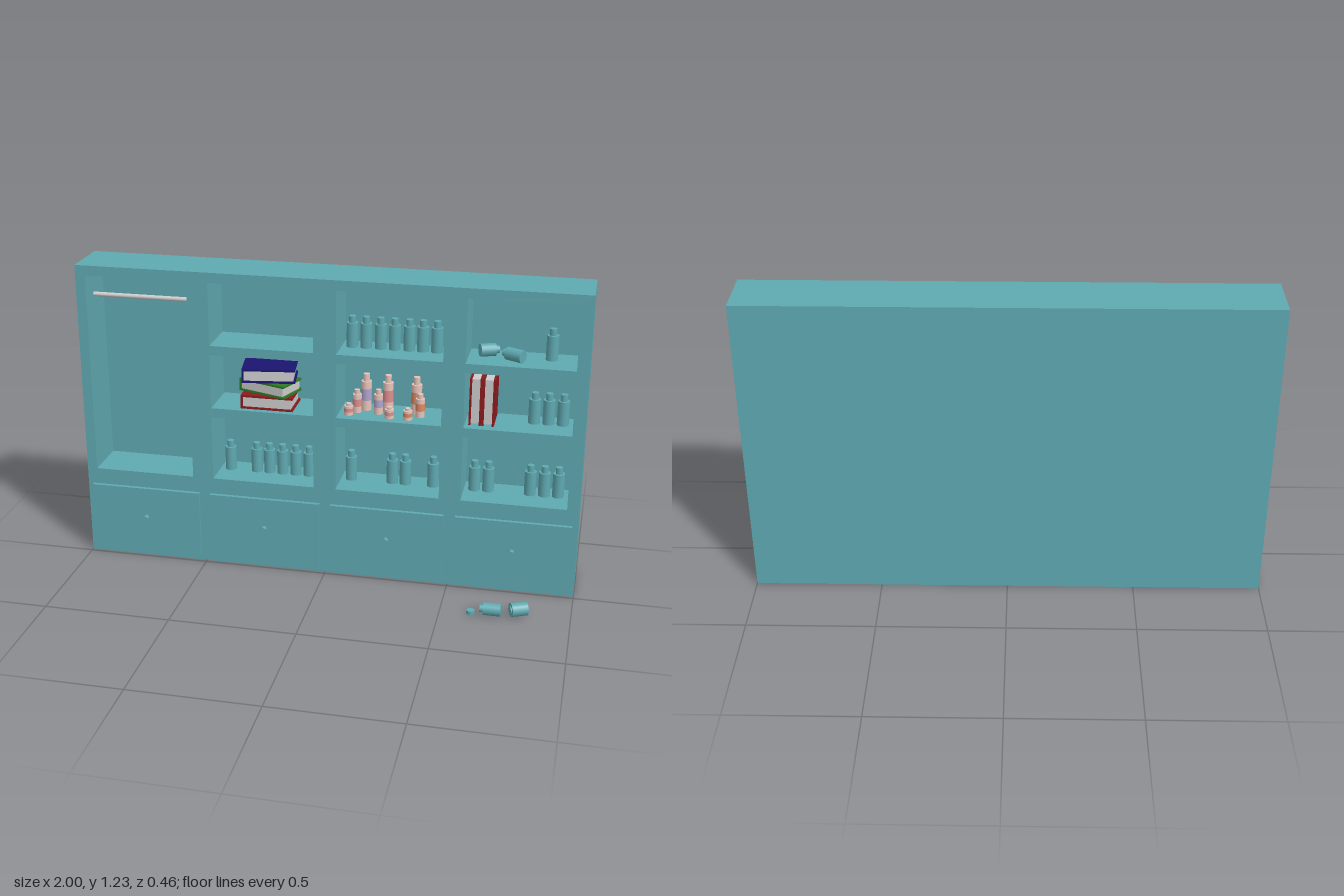
import * as THREE from 'three';

const mat = (color) => new THREE.MeshStandardMaterial({ color });
const TEAL = mat(0x5fa9b1), GREY = mat(0xcccccc);
const RED = mat(0x8c1a1e), GREEN = mat(0x2f7a28), NAVY = mat(0x1a1470);
const CREAM = mat(0xe8c4ba), PINK = mat(0xdf8f8f), ORANGE = mat(0xe08a62), LILAC = mat(0xb0a4cc);

function add(parent, name, geometry, material, x = 0, y = 0, z = 0) {
  const mesh = new THREE.Mesh(geometry, material);
  mesh.name = name;
  mesh.position.set(x, y, z);
  parent.add(mesh);
  return mesh;
}
const box = (w, h, d) => new THREE.BoxGeometry(w, h, d);

// Bottle standing on its base: wide body, narrow neck and an optional label band
function bottle(parent, x, y, z, body = 0.098, neck = 0.026, r = 0.023, material = TEAL, label = null) {
  const g = new THREE.Group();
  g.name = 'bottle';
  g.position.set(x, y, z);
  parent.add(g);
  add(g, 'bottleBody', new THREE.CylinderGeometry(r, r, body, 16), material, 0, body / 2);
  add(g, 'bottleNeck', new THREE.CylinderGeometry(r * 0.6, r * 0.6, neck, 16), material, 0, body + neck / 2);
  if (label) {
    add(g, 'bottleLabel', new THREE.CylinderGeometry(r * 1.02, r * 1.02, body * 0.4, 16, 1, true), label, 0, body * 0.55);
  }
  return g;
}

// Bottle on its side, centred on its length, neck pointing along the given heading
function fallenBottle(parent, x, y, z, heading, body, neck, r = 0.025) {
  const g = new THREE.Group();
  g.name = 'fallenBottle';
  g.position.set(x, y + r, z);
  g.rotation.y = heading;
  parent.add(g);
  bottle(g, -(body + neck) / 2, 0, 0, body, neck, r).rotation.z = -Math.PI / 2;
}

// Book lying flat, centred: two boards, a spine at -x and inset pages
function book(parent, w, h, d, cover, x, y, z) {
  const g = new THREE.Group(), t = 0.008;
  g.name = 'book';
  g.position.set(x, y, z);
  parent.add(g);
  for (const s of [-1, 1]) add(g, 'bookBoard', box(w, t, d), cover, 0, s * (h - t) / 2);
  add(g, 'bookSpine', box(t, h - 2 * t, d), cover, (t - w) / 2);
  add(g, 'bookPages', box(w - 2 * t, h - 2 * t, d - 0.01), GREY);
  return g;
}

export function createModel() {
  const model = new THREE.Group();
  model.name = 'shelvingUnit';
  const front = -0.015, back = -0.235, panel = 0.03;
  const low = 0.372, mid = 0.675, high = 0.935;
  const bays = [[-0.96, -0.548], [-0.463, -0.048], [0.042, 0.455], [0.54, 0.953]];

  // Carcass with four open bays, closed by a back panel
  const outline = new THREE.Shape([[-1, 0], [1, 0], [1, 1.23], [-1, 1.23]].map((p) => new THREE.Vector2(...p)));
  for (const [a, b] of bays) {
    outline.holes.push(new THREE.Path([[a, low], [a, 1.19], [b, 1.19], [b, low]].map((p) => new THREE.Vector2(...p))));
  }
  const depth = front - back - panel;
  add(model, 'carcass', new THREE.ExtrudeGeometry(outline, { depth, bevelEnabled: false }), TEAL, 0, 0, front - depth);
  add(model, 'backPanel', box(2, 1.23, panel), TEAL, 0, 0.615, back + panel / 2);

  // Shelves in the three right-hand bays
  for (const [a, b] of bays.slice(1)) {
    for (const top of [mid, high]) {
      add(model, 'shelf', box(b - a, 0.037, depth - 0.003), TEAL, (a + b) / 2, top - 0.0185, front - 0.0015 - depth / 2);
    }
  }

  // Drawer fronts and knobs
  for (const x of [-0.75, -0.25, 0.25, 0.75]) {
    add(model, 'drawerFront', box(0.455, 0.28, 0.015), TEAL, x, 0.165, front + 0.0075);
    add(model, 'drawerKnob', new THREE.CylinderGeometry(0.011, 0.011, 0.02, 16), TEAL, x, 0.177, 0.01).rotation.x = Math.PI / 2;
  }

  // Hanging rail
  const [railA, railB] = bays[0];
  add(model, 'hangingRail', new THREE.CylinderGeometry(0.009, 0.009, railB - railA, 16), GREY, (railA + railB) / 2, 1.092, -0.1)
    .rotation.z = Math.PI / 2;

  // Rows of plain bottles
  const rows = [
    [low, [-0.42, -0.31, -0.257, -0.202, -0.147, -0.092, 0.083, 0.25, 0.303, 0.415, 0.58, 0.635, 0.8, 0.855, 0.91]],
    [mid, [0.8, 0.855, 0.91]],
    [high, [0.083, 0.138, 0.195, 0.25, 0.307, 0.36, 0.415, 0.853]],
  ];
  for (const [y, xs] of rows) for (const x of xs) bottle(model, x, y, -0.135);

  // Coloured bottles: x, z, body height, label
  const coloured = [
    [0.14, -0.14, 0.12, LILAC], [0.227, -0.14, 0.12, PINK], [0.34, -0.14, 0.12, ORANGE],
    [0.11, -0.105, 0.075, PINK], [0.36, -0.105, 0.075, ORANGE],
    [0.083, -0.07, 0.037, PINK], [0.195, -0.105, 0.08, LILAC], [0.245, -0.065, 0.037, PINK], [0.318, -0.065, 0.037, ORANGE],
  ];
  for (const [x, z, h, label] of coloured) bottle(model, x, mid, z, h, h * 0.25, h > 0.1 ? 0.021 : 0.018, CREAM, label);

  // Stacked books
  book(model, 0.21, 0.056, 0.14, RED, -0.24, 0.708, -0.1);
  book(model, 0.21, 0.052, 0.13, GREEN, -0.24, 0.766, -0.1).rotation.y = -0.35;
  book(model, 0.21, 0.056, 0.14, NAVY, -0.238, 0.825, -0.088).rotation.y = 0.15;

  // Upright books with spines to the back
  for (const x of [0.579, 0.629]) {
    book(model, 0.14, 0.048, 0.19, RED, x, mid + 0.095, -0.125)
      .quaternion.setFromAxisAngle(new THREE.Vector3(1, 1, 1).normalize(), -2 * Math.PI / 3);
  }

  // Fallen bottles on the top shelf and on the floor, with a loose cap
  fallenBottle(model, 0.617, high, -0.13, 0.4, 0.06, 0.015);
  fallenBottle(model, 0.712, high, -0.09, Math.PI - 0.5, 0.07, 0.015);
  fallenBottle(model, 0.695, 0.002, 0.203, Math.PI, 0.067, 0.014);
  fallenBottle(model, 0.8, 0.002, 0.185, Math.PI + 0.42, 0.064, 0.004, 0.027);
  add(model, 'looseCap', new THREE.CylinderGeometry(0.016, 0.016, 0.015, 16), TEAL, 0.62, 0.0075, 0.203);

  return model;
}
